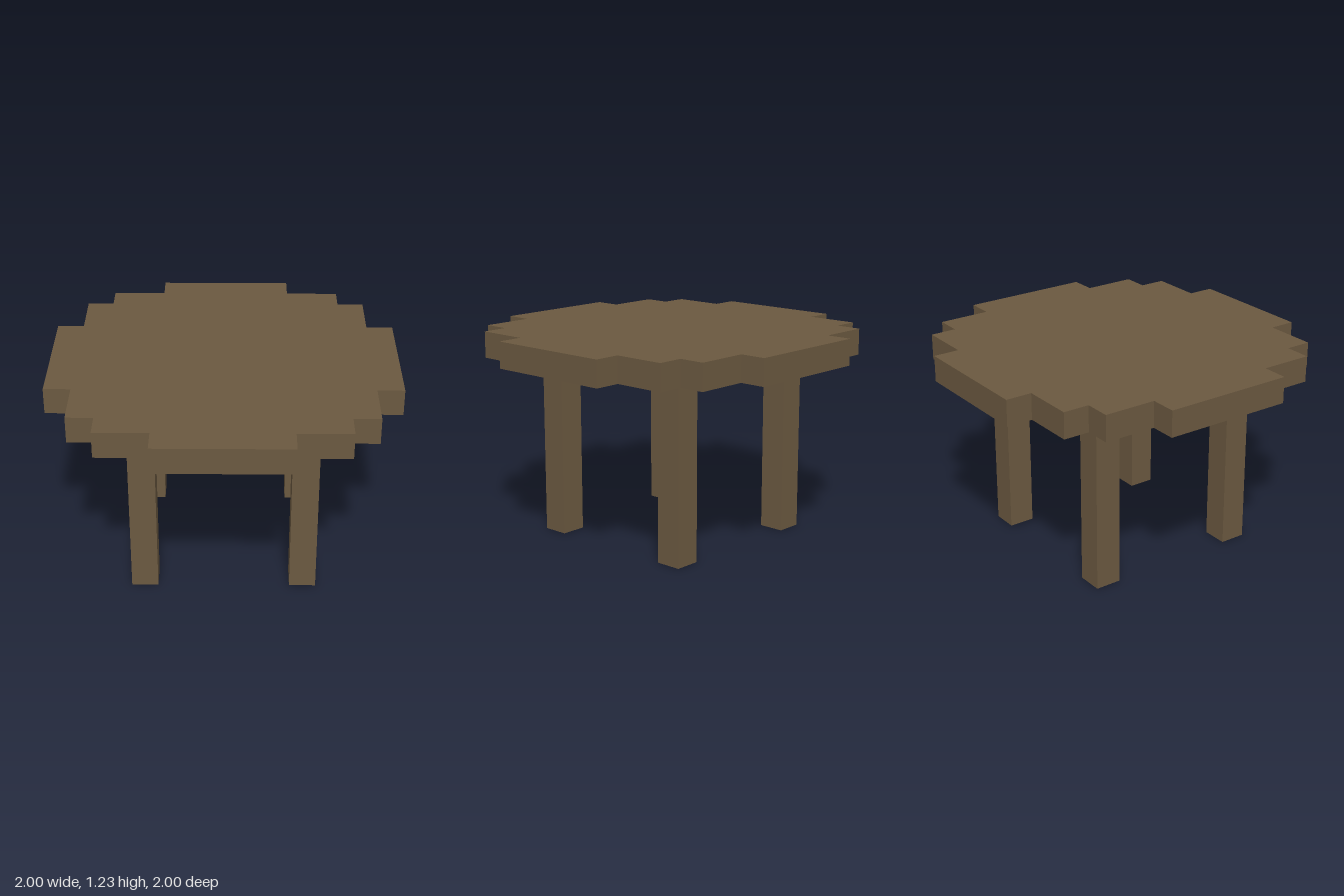
import * as THREE from 'three';

const U = 2 / 13; // one block of the stepped grid

export function createModel() {
  const group = new THREE.Group();
  group.name = 'table';
  const wood = new THREE.MeshStandardMaterial({ color: 0x6b5940 });
  wood.name = 'brown wood';

  // Stepped round top: one corner's outline, repeated by quarter turns
  const corner = [[6.5, 2.5], [5.5, 2.5], [5.5, 4.5], [4.5, 4.5], [4.5, 5.5], [2.5, 5.5], [2.5, 6.5]];
  const outline = [];
  for (let turn = 0; turn < 4; turn++) {
    for (const [x, y] of corner) {
      const p = new THREE.Vector2(x * U, y * U);
      outline.push(p.rotateAround(new THREE.Vector2(), turn * Math.PI / 2));
    }
  }
  const topGeometry = new THREE.ExtrudeGeometry(new THREE.Shape(outline), { depth: U, bevelEnabled: false });
  topGeometry.rotateX(-Math.PI / 2);
  const top = new THREE.Mesh(topGeometry, wood);
  top.name = 'tableTop';
  top.position.y = 7 * U;
  group.add(top);

  // Four square legs
  const legGeometry = new THREE.BoxGeometry(U, 7 * U, U);
  for (const [sx, side] of [[1, 'Left'], [-1, 'Right']]) {
    for (const [sz, end] of [[1, 'front'], [-1, 'back']]) {
      const leg = new THREE.Mesh(legGeometry, wood);
      leg.name = `${end}${side}Leg`;
      leg.position.set(sx * 3 * U, 3.5 * U, sz * 3 * U);
      group.add(leg);
    }
  }
  return group;
}
